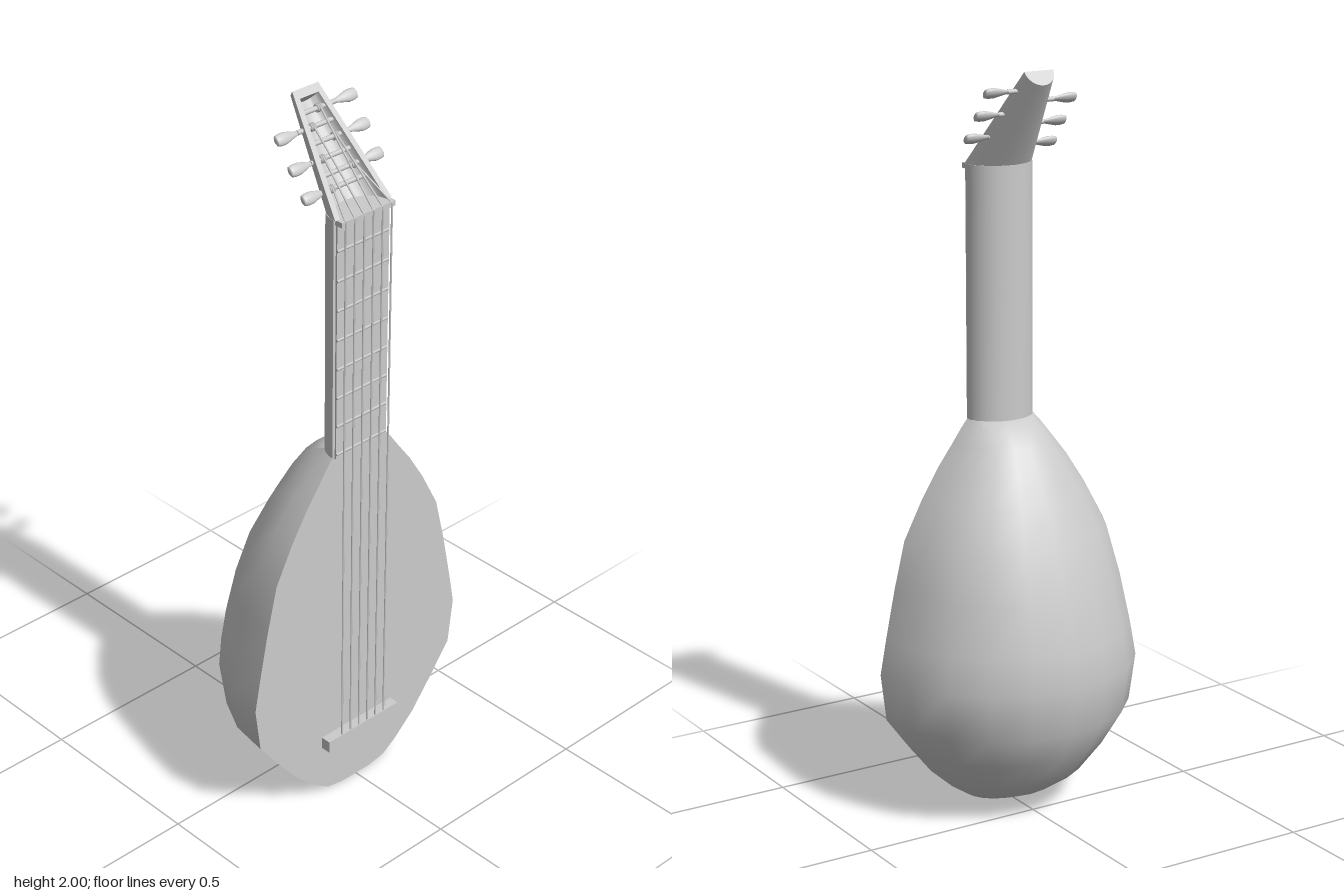
import * as THREE from 'three';
import { toCreasedNormals } from 'three/addons/utils/BufferGeometryUtils.js';

const V = (x, y, z) => new THREE.Vector3(x, y, z);
const grey = new THREE.MeshStandardMaterial({ color: 0xcccccc });

function add(parent, name, geometry) {
  const mesh = new THREE.Mesh(geometry, grey);
  mesh.name = name;
  parent.add(mesh);
  return mesh;
}

// Half-ellipse from the left edge round the back to the right edge
function arc(centre, width, depth, n = 10) {
  return Array.from({ length: n + 1 }, (_, i) => {
    const a = (i / n) * Math.PI;
    return V(width * Math.cos(a), 0, 0).add(centre).addScaledVector(depth, Math.sin(a));
  });
}

// Skin a row of closed rings, optionally closing both ends
function loft(rings, capped = true, crease = 0.75) {
  const n = rings[0].length, pts = rings.flat(), index = [];
  for (let i = 0; i < rings.length - 1; i++) {
    for (let j = 0; j < n; j++) {
      const k = (j + 1) % n, a = i * n, b = a + n;
      index.push(a + j, a + k, b + k, a + j, b + k, b + j);
    }
  }
  if (capped) {
    const last = (rings.length - 1) * n;
    for (let j = 1; j < n - 1; j++) {
      index.push(0, j + 1, j, last, last + j, last + j + 1);
    }
  }
  const g = new THREE.BufferGeometry().setFromPoints(pts);
  g.setIndex(index);
  return toCreasedNormals(g, crease);
}

// Round rod between two points
function rod(parent, name, a, b, r, sides = 8) {
  const dir = b.clone().sub(a);
  const mesh = add(parent, name, new THREE.CylinderGeometry(r, r, dir.length(), sides));
  mesh.position.copy(a).lerp(b, 0.5);
  mesh.quaternion.setFromUnitVectors(V(0, 1, 0), dir.normalize());
  return mesh;
}

function box(parent, name, w, h, d, x, y, z) {
  add(parent, name, new THREE.BoxGeometry(w, h, d)).position.set(x, y, z);
}

export function createModel() {
  const lute = new THREE.Group();
  lute.name = 'lute';
  const FRONT = 0.172;

  // Bowl: height, half width, depth behind the flat soundboard
  const bowl = [
    [0, 0.05, 0.03], [0.01, 0.105, 0.09], [0.04, 0.15, 0.16], [0.1, 0.217, 0.25],
    [0.185, 0.285, 0.313], [0.275, 0.352, 0.357], [0.405, 0.368, 0.377], [0.5, 0.35, 0.365],
    [0.635, 0.322, 0.335], [0.765, 0.29, 0.29], [0.87, 0.235, 0.243], [0.95, 0.185, 0.2],
    [1.01, 0.14, 0.16], [1.045, 0.115, 0.12], [1.07, 0.095, 0.083],
  ];
  add(lute, 'body', loft(bowl.map(([y, w, d]) => arc(V(0, y, FRONT), w, V(0, 0, -d)))));

  // Neck, fingerboard, frets, nut and bridge
  add(lute, 'neck', loft([1.06, 1.745].map((y) => arc(V(0, y, FRONT), 0.095, V(0, 0, -0.082), 16))));
  box(lute, 'fingerboard', 0.174, 0.675, 0.006, 0, 1.4025, FRONT + 0.002);
  for (let i = 0; i < 8; i++) {
    const y = 1.66 - i * 0.083;
    rod(lute, 'fret', V(-0.087, y, 0.177), V(0.087, y, 0.177), 0.004, 6);
  }
  box(lute, 'nut', 0.18, 0.014, 0.028, 0, 1.738, 0.183);
  box(lute, 'bridge', 0.258, 0.035, 0.03, 0, 0.175, 0.186);

  // Pegbox: a tapering open trough that leans back, closed at the tip
  const base = V(0, 1.745, 0.178), tip = V(0, 1.999, -0.028);
  const baseDepth = V(0, 0, -0.088), tipDepth = V(0, -0.034, -0.024);
  const section = (t, inset = 0, part = 1) => arc(
    base.clone().lerp(tip, t),
    THREE.MathUtils.lerp(0.095, 0.043, t) - inset,
    baseDepth.clone().lerp(tipDepth, t).multiplyScalar(part), 12);
  const trough = [0, 0.25, 0.5, 0.75, 0.93].map(
    (t) => [...section(t), ...section(t, 0.016, 0.75).reverse()]);
  add(lute, 'pegbox', loft(trough, false));
  add(lute, 'pegboxTip', loft([section(0.93), section(1)]));

  // Pegs: height, z and winding position, from the tip down on each side
  const pegs = [
    [1, 1.948, 0.0, 0.017], [1, 1.885, 0.045, 0.03], [1, 1.822, 0.094, 0.043],
    [-1, 1.917, 0.022, -0.025], [-1, 1.853, 0.07, -0.037], [-1, 1.793, 0.115, -0.05],
  ];
  const headProfile = [[0, 0], [0.006, 0], [0.007, 0.012], [0.012, 0.03], [0.016, 0.046],
    [0.016, 0.06], [0.014, 0.071], [0.009, 0.074], [0, 0.074]].map(([r, h]) => new THREE.Vector2(r, h));
  const headGeo = new THREE.LatheGeometry(headProfile, 14);
  headGeo.scale(1, 1, 0.6);
  const coilGeo = new THREE.TorusGeometry(0.0085, 0.0026, 6, 14);
  coilGeo.rotateY(Math.PI / 2);
  const lean = Math.atan2(tip.z - base.z, tip.y - base.y);

  pegs.forEach(([side, y, z, coilX], i) => {
    const peg = new THREE.Group();
    peg.name = side > 0 ? 'leftPeg' : 'rightPeg';
    peg.position.set(0, y, z);
    peg.rotation.x = lean;
    lute.add(peg);
    const wall = THREE.MathUtils.lerp(0.088, 0.036, (y - 1.745) / 0.254);
    rod(peg, 'pegShaft', V(-side * wall, 0, 0), V(side * 0.075, 0, 0), 0.0065, 10);
    const head = add(peg, 'pegHead', headGeo);
    head.position.x = side * 0.069;
    // lathe axis turned outward, wide side along the pegbox
    head.rotation.z = -side * Math.PI / 2;
    for (let k = -1; k <= 1; k++) add(peg, 'stringWinding', coilGeo).position.x = coilX + k * 0.0055;

    // String from the bridge over the nut to its peg
    const x = side * (0.0156 + 0.0312 * (i % 3));
    const over = V(x, 1.742, 0.197);
    rod(lute, 'string', V(x, 0.165, 0.197), over, 0.0026, 6);
    rod(lute, 'stringEnd', over, V(coilX, y + 0.005, z + 0.007), 0.0026, 6);
  });

  return lute;
}
